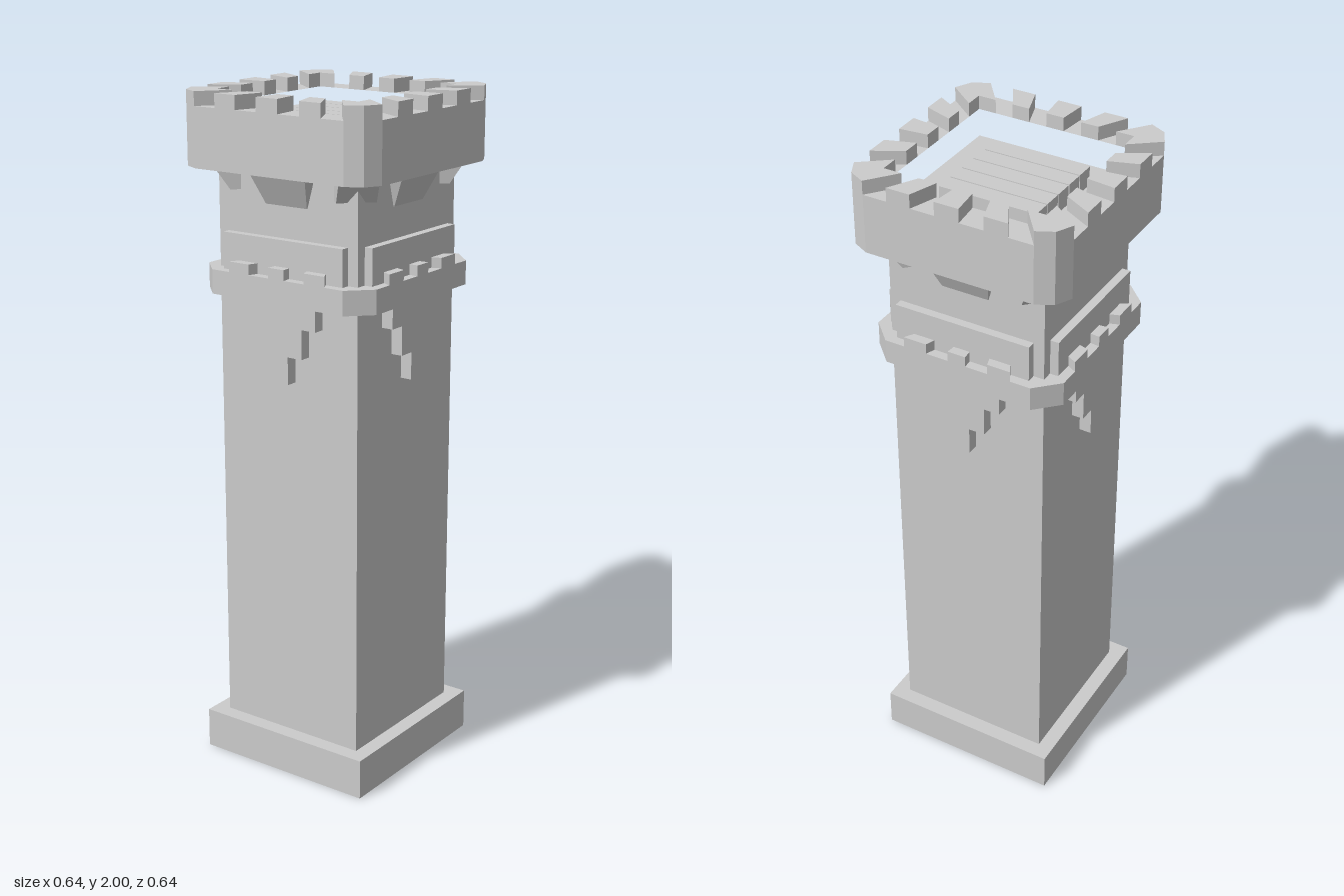
import * as THREE from 'three';
import { ConvexGeometry } from 'three/addons/geometries/ConvexGeometry.js';

const material = new THREE.MeshStandardMaterial({ color: 0xcccccc, flatShading: true });

function add(parent, name, geometry) {
  const mesh = new THREE.Mesh(geometry, material);
  mesh.name = name;
  parent.add(mesh);
  return mesh;
}

// Box given by its limits
function box(x0, x1, y0, y1, z0, z1) {
  return new THREE.BoxGeometry(x1 - x0, y1 - y0, z1 - z0)
    .translate((x0 + x1) / 2, (y0 + y1) / 2, (z0 + z1) / 2);
}

// Upright prism over a plan outline of [x, z] points, with an optional hole
function prism(outline, y0, y1, hole) {
  const toPoints = (list) => list.map(([x, z]) => new THREE.Vector2(x, -z));
  const shape = new THREE.Shape(toPoints(outline));
  if (hole) shape.holes.push(new THREE.Path(toPoints(hole)));
  return new THREE.ExtrudeGeometry(shape, { depth: y1 - y0, bevelEnabled: false })
    .rotateX(-Math.PI / 2).translate(0, y0, 0);
}

// Repeats one corner's points around all four corners
function around(corner) {
  const points = [];
  for (let i = 0; i < 4; i++) {
    for (const [x, z] of corner) {
      points.push([[x, z], [-z, x], [-x, -z], [z, -x]][i]);
    }
  }
  return points;
}

// Bracket whose sloping front runs from zTop down to zBottom
function bracket(wTop, wBottom, y0, y1, zBack, zTop, zBottom) {
  const points = [];
  for (const s of [-1, 1]) {
    points.push(
      new THREE.Vector3(s * wTop, y1, zTop), new THREE.Vector3(s * wTop, y1, zBack),
      new THREE.Vector3(s * wBottom, y0, zBottom), new THREE.Vector3(s * wBottom, y0, zBack));
  }
  return new ConvexGeometry(points);
}

// Wedge-shaped merlon whose sides point at the tower's axis
function merlon(x0, x1, z, ratio, y0, y1) {
  return prism([[x0, z], [x1, z], [x1 * ratio, z * ratio], [x0 * ratio, z * ratio]], y0, y1);
}

export function createModel() {
  const tower = new THREE.Group();
  tower.name = 'tower';
  const R = 0.237, P = 0.322, ratio = 0.74, inner = P * ratio;

  // Plinth and shaft
  add(tower, 'plinth', box(-0.283, 0.283, 0, 0.12, -0.283, 0.283));
  add(tower, 'shaft', box(-R, R, 0.12, 1.88, -R, R));

  // Lower belt with cut corners
  add(tower, 'belt', prism(around([[0.29, 0.225], [0.225, 0.29]]), 1.435, 1.505,
    around([[0.23, 0.23]])));

  // Parapet wall
  add(tower, 'parapet', prism(around([[P, 0.25], [0.298, 0.298], [0.25, P]]), 1.79, 1.96,
    around([[inner, inner]])));

  // Roof hatch planks
  const planks = new THREE.Group();
  planks.name = 'roofPlanks';
  tower.add(planks);
  for (let i = 0; i < 5; i++) {
    const x = -0.14 + i * 0.0585;
    add(planks, 'plank', box(x, x + 0.0545, 1.87, 1.935, -0.16, 0.13));
  }

  // Details repeated on the four sides
  for (let i = 0; i < 4; i++) {
    const side = new THREE.Group();
    side.name = 'side';
    side.rotation.y = i * Math.PI / 2;
    tower.add(side);

    // Stepped ornament hanging below the belt
    const steps = [
      [-0.12, 1.435], [-0.12, 1.37], [-0.073, 1.37], [-0.073, 1.285], [-0.025, 1.285], [-0.025, 1.205],
      [0.025, 1.205], [0.025, 1.285], [0.073, 1.285], [0.073, 1.37], [0.12, 1.37], [0.12, 1.435]];
    add(side, 'steppedOrnament', new THREE.ExtrudeGeometry(
      new THREE.Shape(steps.map(([x, y]) => new THREE.Vector2(x, y))),
      { depth: 0.042, bevelEnabled: false }).translate(0, 0, 0.23));

    // Raised panel above the belt
    add(side, 'panel', box(-0.205, 0.205, 1.48, 1.61, 0.23, 0.262));

    // Belt merlons
    for (const [a, b] of [[-0.165, -0.095], [-0.027, 0.027], [0.095, 0.165]]) {
      add(side, 'beltMerlon', merlon(a, b, 0.29, 0.82, 1.505, 1.535));
    }

    // Brackets carrying the parapet
    add(side, 'bracket', bracket(0.095, 0.07, 1.7, 1.79, 0.2, 0.283, 0.24));
    add(side, 'cornerBracket', bracket(0.055, 0.055, 1.73, 1.79, 0.22, 0.352, 0.31))
      .rotation.y = Math.PI / 4;

    // Parapet merlons, with one wrapping each corner
    for (const [a, b] of [[-0.178, -0.108], [-0.036, 0.036], [0.108, 0.178]]) {
      add(side, 'merlon', merlon(a, b, P, ratio, 1.96, 2));
    }
    add(side, 'cornerMerlon', prism([
      [0.25, P], [0.298, 0.298], [P, 0.25],
      [inner, 0.25 * ratio], [inner, inner], [0.25 * ratio, inner]], 1.96, 2));
  }
  return tower;
}
